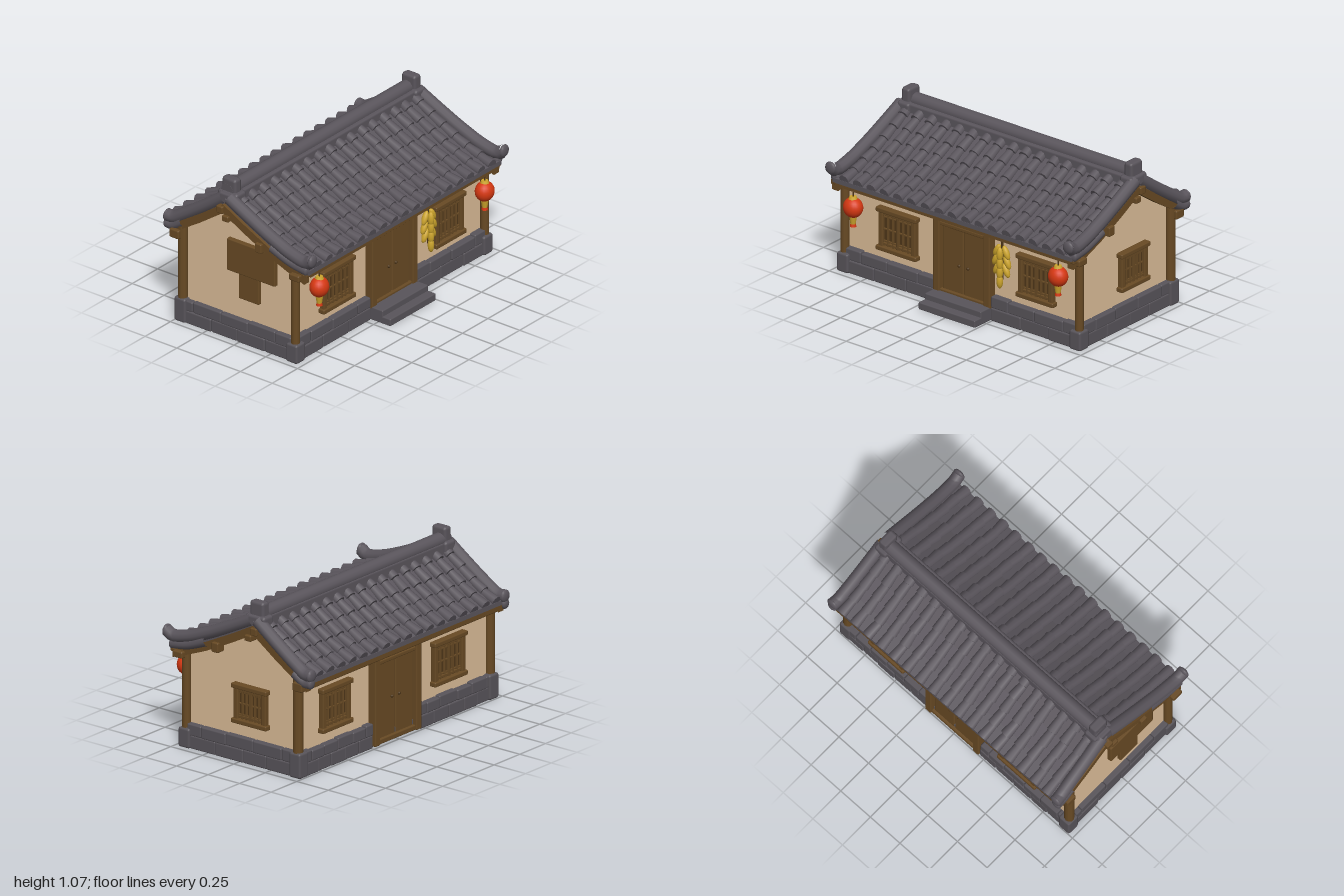
import * as THREE from 'three';
import { RoundedBoxGeometry } from 'three/addons/geometries/RoundedBoxGeometry.js';

const mat = (name, color) => Object.assign(new THREE.MeshStandardMaterial({ color }), { name });

export function createModel() {
  const slate = mat('roof slate', 0x5a555c), stone = mat('stone', 0x58545a);
  const plaster = mat('plaster', 0xdcbd98), wood = mat('wood', 0x684a24), darkWood = mat('dark wood', 0x4f3719);
  const red = mat('lantern red', 0xd63812), yellow = mat('corn yellow', 0xcda52c);
  const house = new THREE.Group();
  house.name = 'house';

  let seed = 7;
  const rnd = () => (seed = (seed * 16807) % 2147483647) / 2147483647 - 0.5;

  const add = (parent, name, geo, m, x = 0, y = 0, z = 0) => {
    const mesh = new THREE.Mesh(geo, m);
    mesh.name = name;
    mesh.position.set(x, y, z);
    parent.add(mesh);
    return mesh;
  };
  // box given by its limits on each axis
  const block = (parent, name, m, x0, x1, y0, y1, z0, z1, r = 0.008) =>
    add(parent, name, new RoundedBoxGeometry(x1 - x0, y1 - y0, z1 - z0, 1, r), m,
      (x0 + x1) / 2, (y0 + y1) / 2, (z0 + z1) / 2);
  // round bar from a (radius ra) to b (radius rb)
  const bar = (parent, name, m, a, b, ra, rb = ra, sides = 10) => {
    const d = b.clone().sub(a);
    const mesh = add(parent, name, new THREE.CylinderGeometry(rb, ra, d.length(), sides), m);
    mesh.position.copy(a).addScaledVector(d, 0.5);
    mesh.quaternion.setFromUnitVectors(new THREE.Vector3(0, 1, 0), d.normalize());
    return mesh;
  };
  const V = (x, y, z) => new THREE.Vector3(x, y, z);
  // extrude a (z, y) outline along x, centred on cx
  const extrudeX = (name, pts, len, m, cx = 0) => {
    const geo = new THREE.ExtrudeGeometry(new THREE.Shape(pts.map(p => new THREE.Vector2(p[0], p[1]))),
      { depth: len, bevelEnabled: false });
    geo.rotateY(-Math.PI / 2).translate(len / 2, 0, 0);
    return add(house, name, geo, m, cx);
  };

  // roof profiles from ridge to eave, as (z, y)
  const front = [[-0.12, 0.945], [0.05, 0.855], [0.25, 0.757], [0.42, 0.69], [0.54, 0.655]];
  const back = [[-0.12, 0.945], [-0.3, 0.82], [-0.45, 0.725], [-0.575, 0.665]];
  const ridgeLine = [...[...back].reverse(), ...front.slice(1)];
  const layer = (top, bottom) => [...ridgeLine.map(([z, y]) => [z, y + top]),
    ...[...ridgeLine].reverse().map(([z, y]) => [z, y + bottom])];
  extrudeX('roofSlab', layer(0.005, -0.025), 1.9, slate, 0.01);
  extrudeX('roofBoards', layer(-0.025, -0.045), 1.86, wood, 0.01);
  for (const s of [-1, 1]) {
    const inner = layer(-0.025, -0.085).map(([z, y]) => [Math.max(-0.54, Math.min(0.52, z)), y]);
    extrudeX('gableRafter', inner, 0.05, wood, s * 0.935);
  }

  // overlapping rows of barrel tiles on both slopes
  for (const [profile, rows] of [[front, 7], [back, 5]]) {
    const curve = new THREE.CatmullRomCurve3(profile.map(([z, y]) => V(0, y, z)));
    const pts = curve.getSpacedPoints(rows);
    for (let i = 0; i < 17; i++) {
      const x = -0.85 + i * 0.1075;
      for (let j = 0; j < rows; j++) {
        const a = pts[j].clone(), b = pts[j + 1].clone();
        a.x = x + rnd() * 0.008;
        b.x = x + rnd() * 0.008;
        a.y += 0.004 + rnd() * 0.004;
        b.y += 0.01;
        bar(house, 'roofTile', slate, a, b, 0.031, 0.037);
      }
    }
  }

  // raised gable ribs with upturned tips
  for (const s of [-1, 1]) {
    const ribs = [
      [[-0.1, 0.95], [0.08, 0.862], [0.25, 0.785], [0.4, 0.73], [0.52, 0.71], [0.565, 0.735]],
      [[-0.14, 0.95], [-0.3, 0.835], [-0.45, 0.735], [-0.53, 0.69], [-0.575, 0.69]]];
    for (const pts of ribs) {
      const curve = new THREE.CatmullRomCurve3(pts.map(([z, y], i) => V(s * (0.925 + i * 0.004) + 0.01, y, z)));
      add(house, 'gableRib', new THREE.TubeGeometry(curve, 20, 0.042, 10), slate);
      const tip = curve.getPoint(1);
      add(house, 'ribTip', new THREE.SphereGeometry(0.042, 12, 8), slate, tip.x, tip.y, tip.z).scale.z = 0.45;
      const low = pts.slice(2, 5).map(([z, y]) => V(s * 0.945 + 0.01, y - 0.05, z));
      add(house, 'ribFoot', new THREE.TubeGeometry(new THREE.CatmullRomCurve3(low), 10, 0.034, 8), slate);
      const end = low[2];
      add(house, 'footCap', new THREE.SphereGeometry(0.034, 10, 8), slate, end.x, end.y, end.z).scale.z = 0.5;
    }
    // ridge end finial
    const fx = s * 0.885 + 0.02;
    block(house, 'finialBase', slate, fx - 0.05, fx + 0.05, 0.87, 0.985, -0.205, -0.045, 0.02);
    block(house, 'finial', slate, fx - 0.033, fx + 0.033, 0.93, 1.072, -0.183, -0.07, 0.02);
  }
  block(house, 'ridgeBase', slate, -0.93, 0.95, 0.89, 0.98, -0.185, -0.065, 0.015);
  bar(house, 'ridgeCap', slate, V(-0.9, 0.985, -0.135), V(0.92, 0.985, -0.135), 0.047, 0.047, 14);

  // plaster body with gables
  extrudeX('walls', [[0.405, 0.08], [0.405, 0.645], [0.25, 0.72], [0.05, 0.82], [-0.12, 0.905],
    [-0.3, 0.78], [-0.45, 0.68], [-0.45, 0.08]], 1.84, plaster);

  // stone footing
  block(house, 'footing', stone, -0.94, 0.94, 0.002, 0.08, -0.475, 0.43);
  const course = (x0, x1, z0, z1, alongX, n) => {
    for (let row = 0; row < 2; row++) {
      const start = alongX ? x0 : z0, span = (alongX ? x1 : z1) - start;
      const cuts = [0];
      for (let i = 1; i < n + row; i++) cuts.push((i - row * 0.5 + rnd() * 0.2) / n);
      cuts.push(1);
      for (let i = 0; i + 1 < cuts.length; i++) {
        const a = start + cuts[i] * span, b = start + cuts[i + 1] * span, o = rnd() * 0.008;
        const y0 = row ? 0.085 : 0, y1 = row ? 0.16 + rnd() * 0.012 : 0.088;
        if (alongX) block(house, 'footingStone', stone, a, b, y0, y1, z0 - o, z1 + o, 0.01);
        else block(house, 'footingStone', stone, x0 - o, x1 + o, y0, y1, a, b, 0.01);
      }
    }
  };
  for (const [x0, x1] of [[-0.92, -0.21], [0.24, 0.92]]) {
    course(x0, x1, 0.37, 0.45, true, 3);
    course(x0, x1, -0.49, -0.42, true, 5);
  }
  for (const s of [-1, 1]) {
    course(s * 0.925 - 0.03, s * 0.925 + 0.03, -0.45, 0.41, false, 4);
    for (const z of [0.425, -0.455])
      block(house, 'cornerStone', stone, s * 0.925 - 0.045, s * 0.925 + 0.045, 0, 0.165 - (z > 0 ? 0.035 : 0), z - 0.045, z + 0.045, 0.015);
  }
  block(house, 'upperStep', stone, -0.21, 0.24, 0, 0.09, 0.4, 0.54);
  block(house, 'lowerStep', stone, -0.21, 0.24, 0, 0.05, 0.5, 0.6);

  // corner posts, eave beams and purlin ends
  for (const s of [-1, 1]) {
    bar(house, 'frontPost', wood, V(s * 0.932, 0.12, 0.43), V(s * 0.932, 0.64, 0.43), 0.028);
    bar(house, 'backPost', wood, V(s * 0.932, 0.15, -0.455), V(s * 0.932, 0.66, -0.455), 0.032);
    for (const [z, y, h] of [[0.17, 0.715, 0.065], [-0.09, 0.835, 0.04], [-0.135, 0.885, 0.05]])
      block(house, 'purlinEnd', wood, s * 0.945 - 0.035, s * 0.945 + 0.035, y - h / 2, y + h / 2, z - 0.026, z + 0.026);
  }
  block(house, 'frontEaveBeam', wood, -0.99, 0.99, 0.585, 0.63, 0.42, 0.5, 0.01);
  block(house, 'frontEaveBoard', wood, -0.95, 0.97, 0.61, 0.637, 0.49, 0.53);
  block(house, 'backEaveBeam', wood, -0.985, 0.985, 0.575, 0.635, -0.525, -0.45, 0.01);

  // lattice window facing +z
  const makeWindow = (w, h) => {
    const g = new THREE.Group();
    g.name = 'window';
    const X = w / 2, Y = h / 2;
    block(g, 'windowBack', darkWood, -X + 0.02, X - 0.02, -Y + 0.02, Y - 0.02, -0.01, 0.006, 0.002);
    for (const s of [-1, 1]) {
      block(g, 'windowJamb', wood, s * (X - 0.03) - 0.018, s * (X - 0.03) + 0.018, -Y, Y, -0.01, 0.03);
      block(g, 'windowRail', wood, -X, X, s * (Y - 0.016) - 0.016, s * (Y - 0.016) + 0.016, -0.01, 0.04);
      block(g, 'sashRail', wood, -X + 0.04, X - 0.04, s * (Y - 0.045) - 0.009, s * (Y - 0.045) + 0.009, 0, 0.02, 0.003);
    }
    for (let i = -2; i <= 2; i++) {
      const x = i * (w - 0.1) / 5.5, t = i ? 0.005 : 0.01;
      block(g, 'latticeBar', wood, x - t, x + t, -Y + 0.03, Y - 0.03, 0, 0.02, 0.002);
    }
    for (const y of [-0.28, 0, 0.28])
      block(g, 'latticeCrossbar', wood, -X + 0.04, X - 0.04, y * h - 0.005, y * h + 0.005, 0, 0.016, 0.002);
    house.add(g);
    return g;
  };
  for (const [x, w, y] of [[-0.515, 0.32, 0.365], [0.585, 0.3, 0.365]]) {
    makeWindow(w, 0.29).position.set(x, y, 0.41);
    const rear = makeWindow(w, 0.29);
    rear.position.set(x, y + 0.01, -0.455);
    rear.rotation.y = Math.PI;
  }
  const side = makeWindow(0.28, 0.26);
  side.position.set(0.925, 0.38, -0.085);
  side.rotation.y = Math.PI / 2;

  // hanging timber panel on the other gable
  block(house, 'gablePanel', wood, -0.95, -0.9, 0.47, 0.69, -0.1, 0.28);
  block(house, 'gablePanelFoot', wood, -0.945, -0.9, 0.3, 0.48, -0.01, 0.15);

  // double doors, front and back
  for (const [z, dir, y0] of [[0.405, 1, 0.09], [-0.45, -1, 0.03]]) {
    const door = new THREE.Group();
    door.name = dir > 0 ? 'frontDoor' : 'backDoor';
    for (const x of [-0.185, 0.215]) block(door, 'doorPost', wood, x - 0.025, x + 0.025, y0 - 0.02, 0.61, -0.02, 0.055);
    block(door, 'lintel', wood, -0.17, 0.2, 0.53, 0.558, -0.02, 0.045);
    block(door, 'sill', wood, -0.17, 0.2, y0 - 0.02, y0 + 0.015, -0.02, 0.045);
    for (const s of [-1, 1]) {
      const x = 0.015 + s * 0.086;
      block(door, 'doorLeaf', wood, x - 0.083, x + 0.083, y0, 0.54, -0.02, 0.028);
      add(door, 'doorHandle', new THREE.SphereGeometry(0.011, 8, 6), darkWood, 0.015 + s * 0.035, 0.29, 0.03);
    }
    door.position.z = z;
    if (dir < 0) door.scale.z = -1;
    house.add(door);
  }

  // red lanterns with tassels
  for (const x of [-0.8, 0.83]) {
    const g = new THREE.Group();
    g.name = 'lantern';
    add(g, 'lanternBody', new THREE.SphereGeometry(0.066, 20, 14), red).scale.z = 0.9;
    add(g, 'lanternCap', new THREE.CylinderGeometry(0.022, 0.03, 0.02, 12), yellow, 0, 0.064, 0);
    add(g, 'lanternCord', new THREE.CylinderGeometry(0.005, 0.005, 0.07, 6), darkWood, 0, 0.1, 0);
    add(g, 'tassel', new THREE.CylinderGeometry(0.025, 0.017, 0.055, 10), yellow, 0, -0.085, 0);
    add(g, 'tasselEnd', new THREE.CylinderGeometry(0.017, 0.021, 0.02, 10), red, 0, -0.118, 0);
    g.position.set(x, 0.49, 0.512);
    house.add(g);
  }

  // hanging bunch of corn
  const corn = new THREE.Group();
  corn.name = 'cornBunch';
  add(corn, 'cornCord', new THREE.CylinderGeometry(0.007, 0.007, 0.3, 6), darkWood, 0, -0.07, -0.005);
  for (let row = 0; row < 4; row++) for (const s of [-1, 0, 1]) {
    if (row === 3 && s) continue;
    const cob = add(corn, 'corn', new THREE.SphereGeometry(0.021, 10, 8), yellow,
      s * (0.036 + (row === 1 ? 0.008 : 0)), -0.03 - row * 0.06 - (s ? 0 : 0.015), s ? 0 : 0.018);
    cob.scale.set(1, 2.3, 1);
    cob.rotation.z = s * 0.45;
  }
  corn.position.set(0.34, 0.53, 0.462);
  house.add(corn);

  return house;
}
